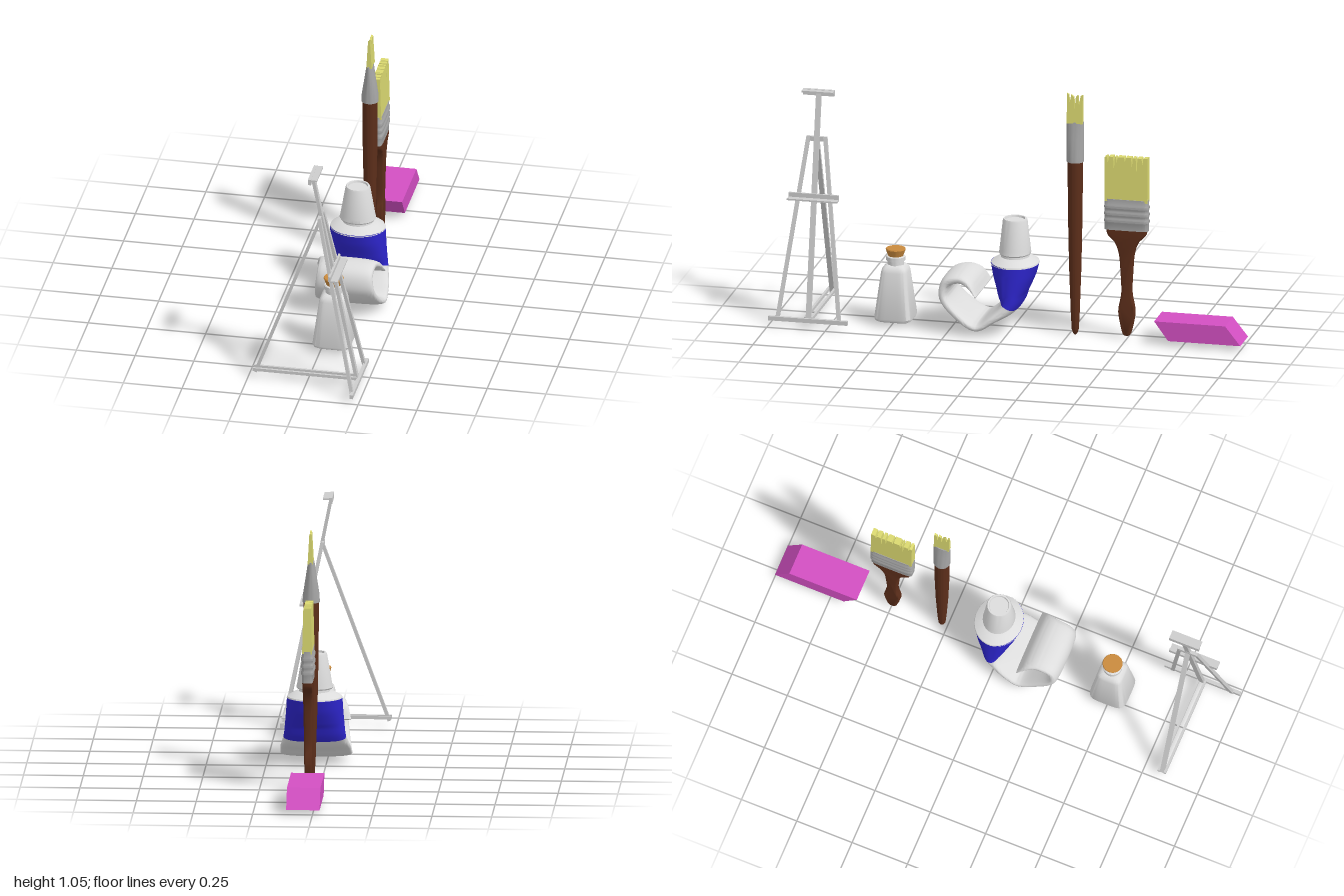
import * as THREE from 'three';
import { toCreasedNormals } from 'three/addons/utils/BufferGeometryUtils.js';

const paint = (name, color) => Object.assign(new THREE.MeshStandardMaterial({ color }), { name });
const M = {
  white: paint('white', 0xdcdcdc), easel: paint('easelGrey', 0xcccccc), metal: paint('metal', 0xa6a6a6),
  wood: paint('brownWood', 0x5c2e1a), bristle: paint('bristleYellow', 0xdad870), blue: paint('labelBlue', 0x2c24c8),
  pink: paint('eraserPink', 0xd24fc2), cork: paint('cork', 0xc98a3e),
};
const V = (x, y, z) => new THREE.Vector3(x, y, z);
const X = V(1, 0, 0), Y = V(0, 1, 0), Z = V(0, 0, 1);
const CX = 0.045;

function add(parent, name, geo, mat) {
  const m = new THREE.Mesh(geo, mat);
  m.name = name;
  parent.add(m);
  return m;
}

function group(parent, name) {
  const g = new THREE.Group();
  g.name = name;
  parent.add(g);
  return g;
}

// Superellipse ring; e = 1 is an ellipse, smaller is squarer
function ring(c, u, ru, v, rv, e = 1, n = 32) {
  const p = (t) => Math.sign(t) * Math.pow(Math.abs(t), e);
  return Array.from({ length: n }, (_, j) => {
    const a = ((j + 0.5) / n) * Math.PI * 2;
    return c.clone().addScaledVector(u, ru * p(Math.cos(a))).addScaledVector(v, rv * p(Math.sin(a)));
  });
}

// Skin over a run of rings, closed at both ends
function loft(rings, crease = 0.6) {
  const n = rings[0].length, pos = [], idx = [];
  rings.forEach((r) => r.forEach((p) => pos.push(p.x, p.y, p.z)));
  for (let i = 0; i < rings.length - 1; i++) {
    for (let j = 0; j < n; j++) {
      const a = i * n + j, b = i * n + ((j + 1) % n);
      idx.push(a, b, b + n, a, b + n, a + n);
    }
  }
  [0, rings.length - 1].forEach((i) => {
    const c = rings[i].reduce((s, p) => s.add(p), V(0, 0, 0)).divideScalar(n);
    const k = pos.length / 3;
    pos.push(c.x, c.y, c.z);
    for (let j = 0; j < n; j++) {
      const a = i * n + j, b = i * n + ((j + 1) % n);
      i === 0 ? idx.push(k, b, a) : idx.push(k, a, b);
    }
  });
  const g = new THREE.BufferGeometry();
  g.setAttribute('position', new THREE.Float32BufferAttribute(pos, 3));
  g.setIndex(idx);
  return toCreasedNormals(g, crease);
}

// Upright part from rows of [y, half width in x, half width in z]
const upright = (rows, z, e = 1, n = 32) =>
  loft(rows.map(([y, rx, rz = rx]) => ring(V(CX, y, z), Z, rz, X, rx, e, n)));

// Plate drawn in the z-y plane and centred on x = 0
function plate(shape, depth, bevel = 0) {
  const g = new THREE.ExtrudeGeometry(shape, {
    depth: depth - 2 * bevel, bevelEnabled: bevel > 0, bevelSize: bevel, bevelThickness: bevel,
    bevelOffset: -bevel, bevelSegments: 3, curveSegments: 24,
  });
  return g.translate(0, 0, bevel - depth / 2).rotateY(-Math.PI / 2);
}

// Narrow a plate in x as y rises from y0 to y1
function taper(g, y0, y1, s0, s1) {
  const p = g.attributes.position;
  for (let i = 0; i < p.count; i++) {
    const t = THREE.MathUtils.clamp((p.getY(i) - y0) / (y1 - y0), 0, 1);
    p.setX(i, p.getX(i) * THREE.MathUtils.lerp(s0, s1, t));
  }
  return toCreasedNormals(g, 0.6);
}

// Ragged tuft; top holds [z, y] points running from +z to -z
function tuft(half, y0, top, depth, tip) {
  const s = new THREE.Shape([[-half, y0], [half, y0], ...top].map(([a, b]) => new THREE.Vector2(a, b)));
  const y1 = Math.max(...top.map((t) => t[1]));
  return taper(plate(s, depth), y0, y1, 1, tip);
}

function beam(parent, name, a, b, w, d) {
  const dir = b.clone().sub(a);
  const m = add(parent, name, new THREE.BoxGeometry(w, dir.length(), d), M.easel);
  m.position.copy(a).add(b).multiplyScalar(0.5);
  m.quaternion.setFromUnitVectors(Y, dir.normalize());
}

function buildEasel(root) {
  const g = group(root, 'easel'), z = 0.83;
  beam(g, 'mast', V(0.21, 0.04, z), V(0.022, 0.975, z), 0.014, 0.022);
  beam(g, 'backLeg', V(-0.22, 0.025, z), V(0.06, 0.78, z), 0.014, 0.02);
  for (const s of [-1, 1]) {
    beam(g, 'frontLeg', V(0.217, 0.025, z + s * 0.133), V(0.058, 0.79, z + s * 0.036), 0.014, 0.016);
    beam(g, 'baseRail', V(-0.23, 0.04, z + s * 0.014), V(0.215, 0.04, z + s * 0.014), 0.013, 0.01);
  }
  beam(g, 'footBar', V(0.22, 0.033, z - 0.17), V(0.22, 0.033, z + 0.17), 0.015, 0.018);
  beam(g, 'topBrace', V(0.057, 0.78, z - 0.04), V(0.057, 0.78, z + 0.04), 0.012, 0.02);
  // Canvas shelf and top clamp
  beam(g, 'shelfBack', V(0.115, 0.545, z - 0.108), V(0.115, 0.545, z + 0.108), 0.01, 0.022);
  beam(g, 'shelfLedge', V(0.133, 0.534, z - 0.108), V(0.133, 0.534, z + 0.108), 0.034, 0.007);
  beam(g, 'clampBack', V(0.022, 0.972, z - 0.067), V(0.022, 0.972, z + 0.067), 0.014, 0.025);
  beam(g, 'clampLip', V(0.037, 0.98, z - 0.067), V(0.037, 0.98, z + 0.067), 0.034, 0.007);
}

function buildBottle(root) {
  const g = group(root, 'bottle'), z = 0.495;
  add(g, 'bottleBody', upright([[0.015, 0.07], [0.02, 0.078], [0.03, 0.082], [0.225, 0.056],
    [0.24, 0.051], [0.25, 0.04], [0.254, 0.03]], z, 0.42, 40), M.white);
  add(g, 'bottleNeck', upright([[0.245, 0.035], [0.268, 0.035], [0.27, 0.04], [0.287, 0.04], [0.29, 0.036]], z), M.white);
  add(g, 'cork', upright([[0.285, 0.03], [0.318, 0.042], [0.322, 0.04]], z), M.cork);
}

function buildPaintTube(root) {
  const g = group(root, 'paintTube');
  // Rows of [z, y, half thickness, half width] from the shoulder down and around the curl
  const rows = [[-0.018, 0.3, 0.101, 0.116], [-0.016, 0.25, 0.088, 0.119], [-0.013, 0.19, 0.064, 0.124],
    [-0.008, 0.13, 0.04, 0.131], [0.056, 0.074, 0.021, 0.147], [0.12, 0.037, 0.019, 0.15],
    [0.2, 0.078, 0.021, 0.138], [0.268, 0.155, 0.022, 0.125], [0.256, 0.215, 0.024, 0.118],
    [0.2, 0.234, 0.022, 0.12], [0.158, 0.22, 0.018, 0.132], [0.12, 0.175, 0.005, 0.146]];
  const path = new THREE.CatmullRomCurve3(rows.map((r) => V(0, r[1], r[0])));
  const size = new THREE.CatmullRomCurve3(rows.map((r) => V(r[2], r[3], 0)));
  const last = rows.length - 1;
  const sweep = (from, to, steps) => loft(Array.from({ length: steps + 1 }, (_, i) => {
    const k = from + ((to - from) * i) / steps, t = k / last;
    const c = path.getPoint(t).setX(CX), s = size.getPoint(t);
    const v = path.getTangent(t).cross(X).normalize();
    return ring(c, X, s.y, v, s.x, 1 - 0.35 * Math.min(1, k / 4), 40);
  }));
  add(g, 'tubeLabel', sweep(0, 3, 15), M.blue);
  add(g, 'tubeCurl', sweep(3, last, 56), M.white);
  add(g, 'tubeShoulder', upright([[0.298, 0.117, 0.102], [0.304, 0.115, 0.1], [0.322, 0.085, 0.07],
    [0.326, 0.065, 0.06], [0.345, 0.062, 0.058]], -0.018), M.white);
  add(g, 'tubeCap', upright([[0.337, 0.072, 0.064], [0.343, 0.077, 0.067], [0.36, 0.073, 0.065], [0.483, 0.052],
    [0.49, 0.049], [0.49, 0.042], [0.482, 0.04]], -0.018), M.white);
}

function buildRoundBrush(root) {
  const g = group(root, 'roundBrush'), z = -0.276;
  add(g, 'roundHandle', upright([[0, 0.003], [0.008, 0.01], [0.025, 0.015], [0.1, 0.019], [0.3, 0.026],
    [0.55, 0.031], [0.765, 0.032]], z), M.wood);
  add(g, 'roundFerrule', upright([[0.758, 0.036], [0.79, 0.035, 0.036], [0.86, 0.024, 0.037], [0.932, 0.013, 0.037]], z), M.metal);
  const top = [[0.034, 1.055], [0.026, 1.05], [0.022, 1.015], [0.016, 1.05], [0.004, 1.04], [0, 0.99],
    [-0.004, 1.04], [-0.014, 1.05], [-0.018, 1.0], [-0.024, 1.045], [-0.034, 1.05]];
  add(g, 'roundBristles', tuft(0.034, 0.925, top, 0.023, 0.35), M.bristle).position.set(CX + 0.002, 0, z);
}

function buildFlatBrush(root) {
  const g = group(root, 'flatBrush'), z = -0.498;
  // Handle outline with a hanging hole
  const side = new THREE.SplineCurve([[0.004, 0.012], [0.018, 0.024], [0.034, 0.1], [0.033, 0.14], [0.022, 0.2],
    [0.025, 0.29], [0.032, 0.37], [0.05, 0.42], [0.08, 0.452], [0.086, 0.48]].map(([a, b]) => new THREE.Vector2(a, b))).getPoints(40);
  const mirror = side.map((p) => new THREE.Vector2(-p.x, p.y)).reverse();
  const shape = new THREE.Shape([...side, ...mirror]);
  shape.holes.push(new THREE.Path().absarc(0, 0.125, 0.02, 0, Math.PI * 2, true));
  add(g, 'flatHandle', taper(plate(shape, 0.042, 0.008), 0.01, 0.45, 0.65, 1), M.wood).position.set(CX, 0, z);
  // Ferrule with pressed ridges
  const rows = [[0.475, 0.023, 0.093]];
  for (const y of [0.515, 0.545, 0.575]) {
    rows.push([y - 0.01, 0.023, 0.093], [y - 0.004, 0.027, 0.095], [y + 0.004, 0.027, 0.095], [y + 0.01, 0.023, 0.093]);
  }
  rows.push([0.61, 0.023, 0.093]);
  add(g, 'flatFerrule', upright(rows, z, 0.35, 48), M.metal);
  // Bristles with narrow splits
  const top = [[0.092, 0.79]];
  for (const [at, low] of [[0.078, 0.765], [0.052, 0.735], [0.04, 0.77], [0.005, 0.775], [-0.025, 0.75], [-0.045, 0.72], [-0.07, 0.765]]) {
    top.push([at + 0.004, 0.793], [at, low], [at - 0.004, 0.793]);
  }
  top.push([-0.092, 0.795]);
  add(g, 'flatBristles', tuft(0.092, 0.6, top, 0.042, 0.75), M.bristle).position.set(CX, 0, z);
}

function buildEraser(root) {
  const s = new THREE.Shape([[-0.935, 0.102], [-1, 0.02], [-0.69, 0.02], [-0.63, 0.102]].map(([a, b]) => new THREE.Vector2(a, b)));
  add(root, 'eraser', plate(s, 0.14), M.pink).position.x = 0.04;
}

export function createModel() {
  const root = new THREE.Group();
  root.name = 'artSupplies';
  [buildEasel, buildBottle, buildPaintTube, buildRoundBrush, buildFlatBrush, buildEraser].forEach((build) => build(root));
  return root;
}
